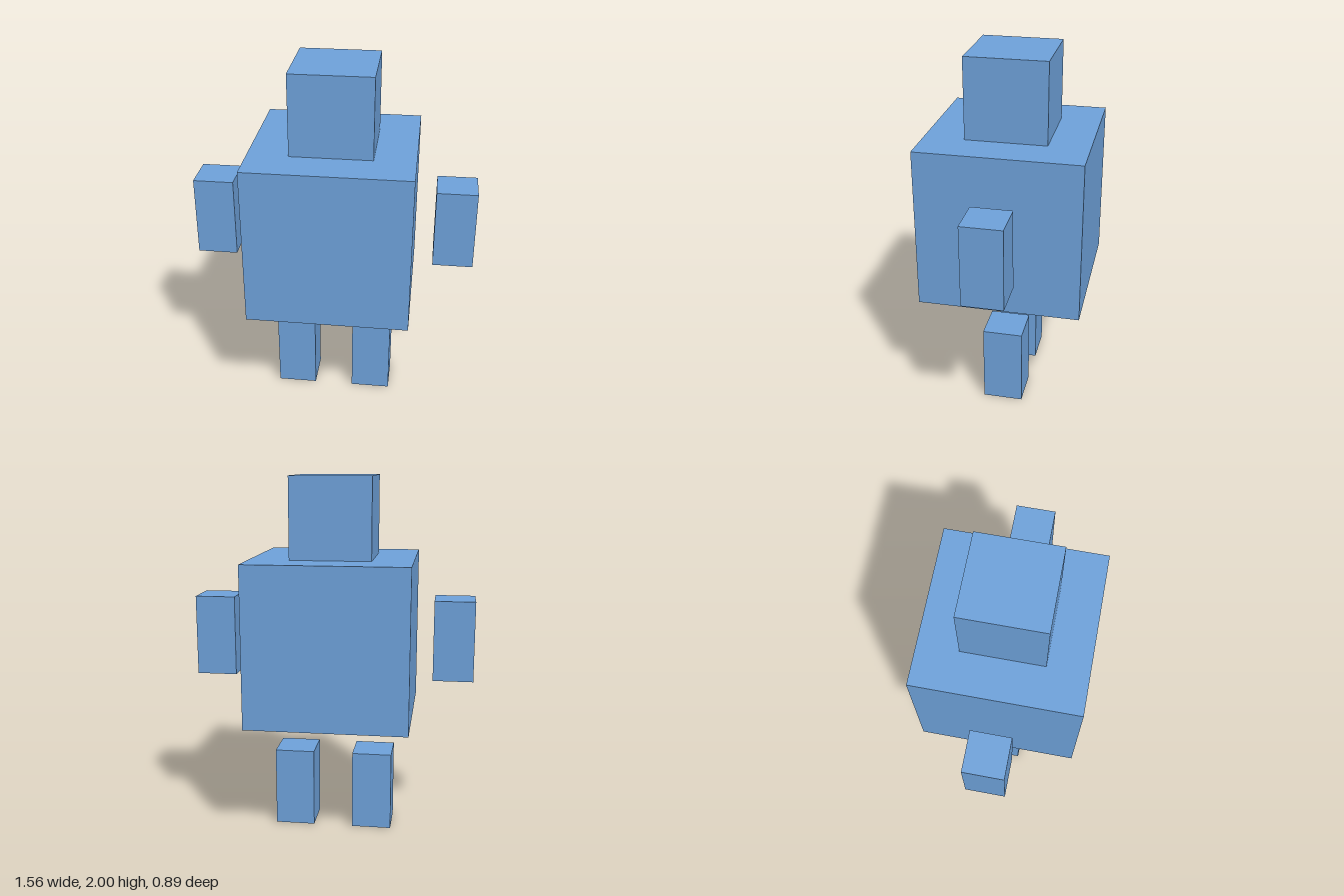
import * as THREE from 'three';

// The whole figure sits on a block grid, nine blocks tall
const U = 2 / 9;

export function createModel() {
  const model = new THREE.Group();
  model.name = 'blockFigure';
  const material = new THREE.MeshStandardMaterial({ color: 0x6fa3dc });

  // Size and centre are given in blocks
  function addBlock(name, [w, h, d], [x, y, z]) {
    const mesh = new THREE.Mesh(new THREE.BoxGeometry(w * U, h * U, d * U), material);
    mesh.name = name;
    mesh.position.set(x * U, y * U, z * U);
    model.add(mesh);
  }

  addBlock('head', [2, 2, 2], [0, 8, 0]);
  addBlock('body', [4, 4, 4], [0, 5, 0]);

  // Floating arms and legs, mirrored
  for (const [side, s] of [['left', 1], ['right', -1]]) {
    addBlock(side + 'Arm', [1, 2, 1], [s * 3, 5, 0]);
    addBlock(side + 'Leg', [1, 2, 1], [s, 1, 0]);
  }

  return model;
}
